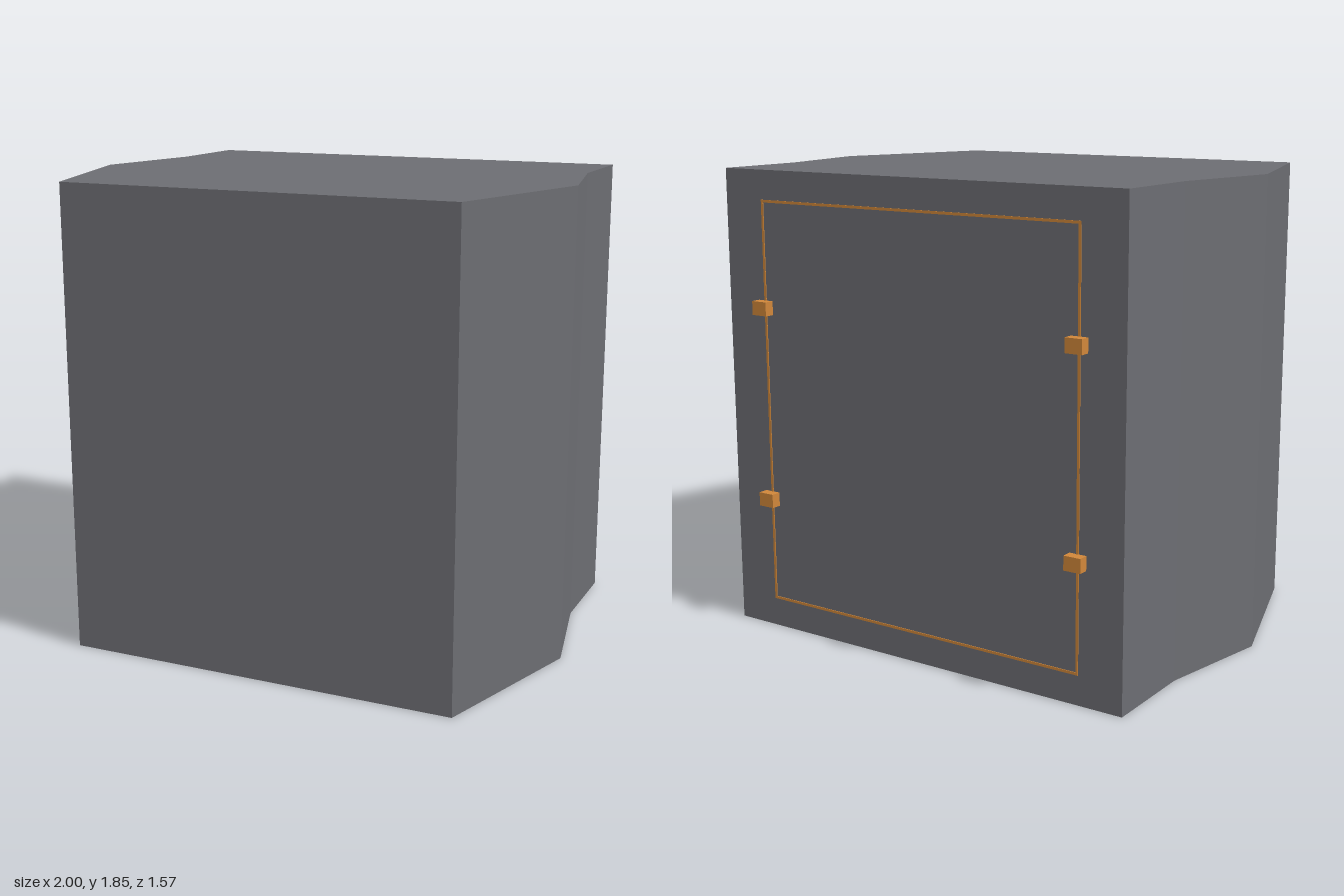
import * as THREE from 'three';

export function createModel() {
  const group = new THREE.Group();
  const grey = new THREE.MeshStandardMaterial({ color: 0x6c6d72, flatShading: true });
  const orange = new THREE.MeshStandardMaterial({ color: 0xd0873a, flatShading: true });
  const height = 1.85, back = -0.745;

  // Faceted cabinet: half outline as [x, z], mirrored and extruded upwards
  const half = [[0.793, 0.785], [1, 0.115], [0.907, -0.355], [0.907, back]];
  const outline = [...half, ...half.map(([x, z]) => [-x, z]).reverse()];
  const shape = new THREE.Shape(outline.map(([x, z]) => new THREE.Vector2(x, -z)));
  const bodyGeo = new THREE.ExtrudeGeometry(shape, { depth: height, bevelEnabled: false });
  bodyGeo.rotateX(-Math.PI / 2);
  const body = new THREE.Mesh(bodyGeo, grey);
  body.name = 'cabinetBody';
  group.add(body);

  const addBox = (name, w, h, d, x, y, z) => {
    const mesh = new THREE.Mesh(new THREE.BoxGeometry(w, h, d), orange);
    mesh.name = name;
    mesh.position.set(x, y, z);
    group.add(mesh);
  };

  // Thin door seam on the back
  const doorX = 0.72, doorLow = 0.12, doorHigh = 1.73, seam = 0.01;
  for (const y of [doorLow, doorHigh]) addBox('doorSeamHorizontal', 2 * doorX + seam, seam, 0.006, 0, y, back);
  for (const side of [-1, 1]) {
    addBox('doorSeamVertical', seam, doorHigh - doorLow - seam, 0.006, side * doorX, (doorLow + doorHigh) / 2, back);
    // Hinge and latch blocks
    for (const y of [0.54, 1.315]) addBox('doorHinge', 0.07, 0.055, 0.045, side * doorX, y, -0.7625);
  }
  return group;
}
